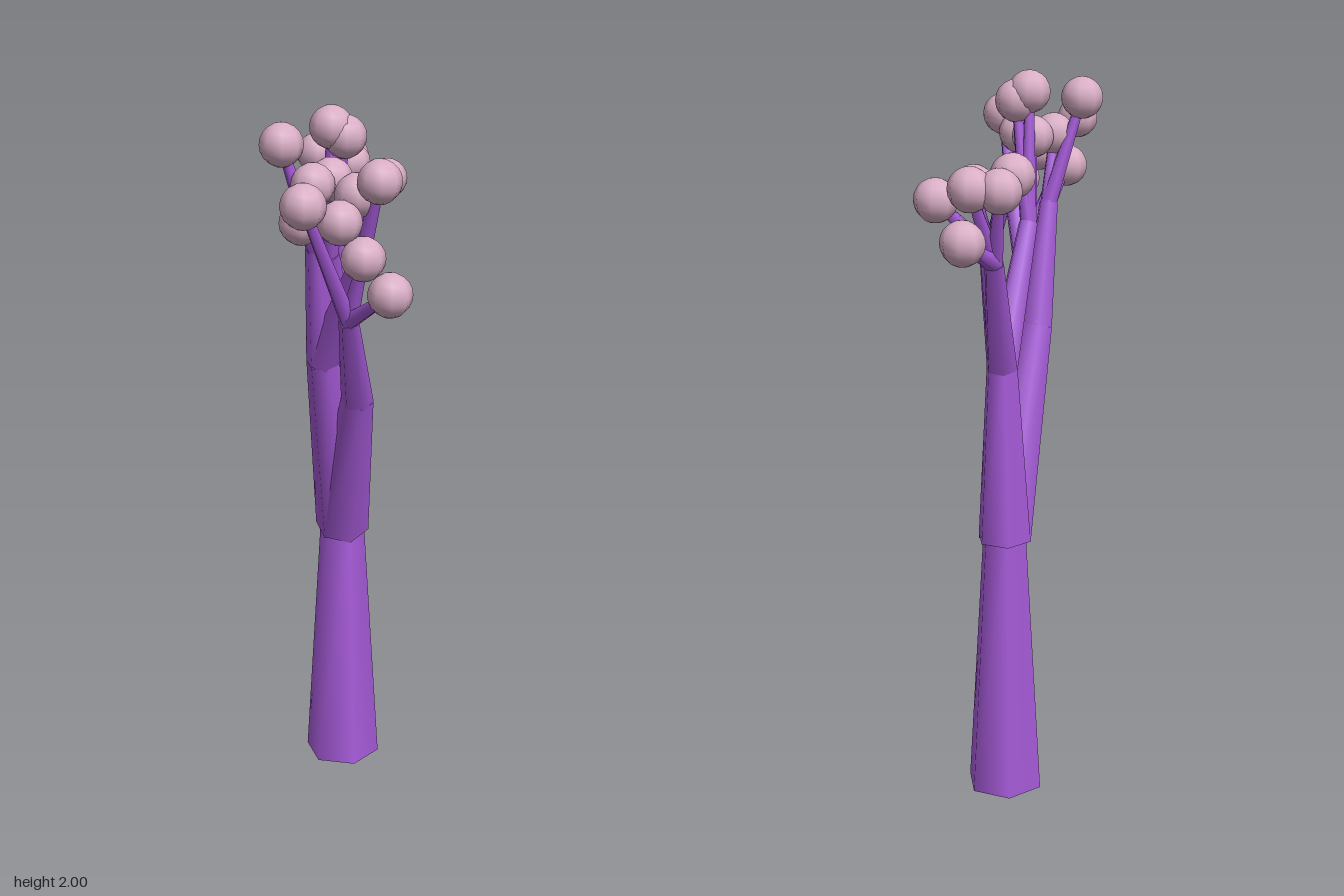
import * as THREE from 'three';

export function createModel() {
  const model = new THREE.Group();
  const bark = new THREE.MeshStandardMaterial({ name: 'purple bark', color: 0xa85cdb });
  const bloom = new THREE.MeshStandardMaterial({ name: 'dusty pink', color: 0xd9aec6 });
  const up = new THREE.Vector3(0, 1, 0);

  // Tapered six-sided limb between two points
  function limb(name, from, to, r0, r1) {
    const a = new THREE.Vector3(...from);
    const dir = new THREE.Vector3(...to).sub(a);
    const len = dir.length();
    const mesh = new THREE.Mesh(new THREE.CylinderGeometry(r1, r0, len, 6), bark);
    mesh.name = name;
    mesh.position.copy(a).addScaledVector(dir, 0.5);
    mesh.quaternion.setFromUnitVectors(up, dir.normalize());
    model.add(mesh);
  }

  const fork = [-0.1, 0.75, -0.1];
  limb('trunk', [-0.1, 0, -0.1], [-0.1, 0.76, -0.1], 0.11, 0.064);

  // Each branch forks into boughs, each bough into three twigs with a ball
  const branches = [
    { end: [-0.11, 1.24, -0.115], boughs: [
      { end: [-0.24, 1.56, -0.235], balls: [[-0.35, 1.65, -0.41], [-0.33, 1.76, -0.285], [-0.29, 1.765, -0.345]] },
      { end: [-0.175, 1.58, -0.205], balls: [[-0.15, 1.72, -0.35], [-0.245, 1.76, -0.3], [-0.31, 1.79, -0.23]] },
      { end: [-0.02, 1.6, 0.04], balls: [[0.01, 1.945, 0.065], [0.035, 1.92, 0.04], [0.04, 1.82, 0.1]] },
    ] },
    { end: [-0.02, 1.31, 0.07], boughs: [
      { end: [0.165, 1.63, 0.13], balls: [[0.255, 1.855, 0.16], [0.18, 1.81, 0.16], [0.19, 1.755, 0.235]] },
      { end: [0.02, 1.64, 0.14], balls: [[-0.015, 1.92, 0.225], [0.05, 1.82, 0.18], [0.05, 1.73, 0.225]] },
    ] },
    { end: [0.07, 1.21, 0.03], boughs: [
      { end: [0.18, 1.49, 0.19], balls: [[0.22, 1.83, 0.4], [0.25, 1.67, 0.215], [0.35, 1.6, 0.23]] },
    ] },
  ];

  const ballGeometry = new THREE.SphereGeometry(0.057, 8, 10);
  for (const branch of branches) {
    limb('branch', fork, branch.end, 0.078, 0.045);
    for (const bough of branch.boughs) {
      limb('bough', branch.end, bough.end, 0.045, 0.027);
      for (const p of bough.balls) {
        limb('twig', bough.end, p, 0.024, 0.013);
        const ball = new THREE.Mesh(ballGeometry, bloom);
        ball.name = 'blossomBall';
        ball.position.set(...p);
        model.add(ball);
      }
    }
  }
  return model;
}
